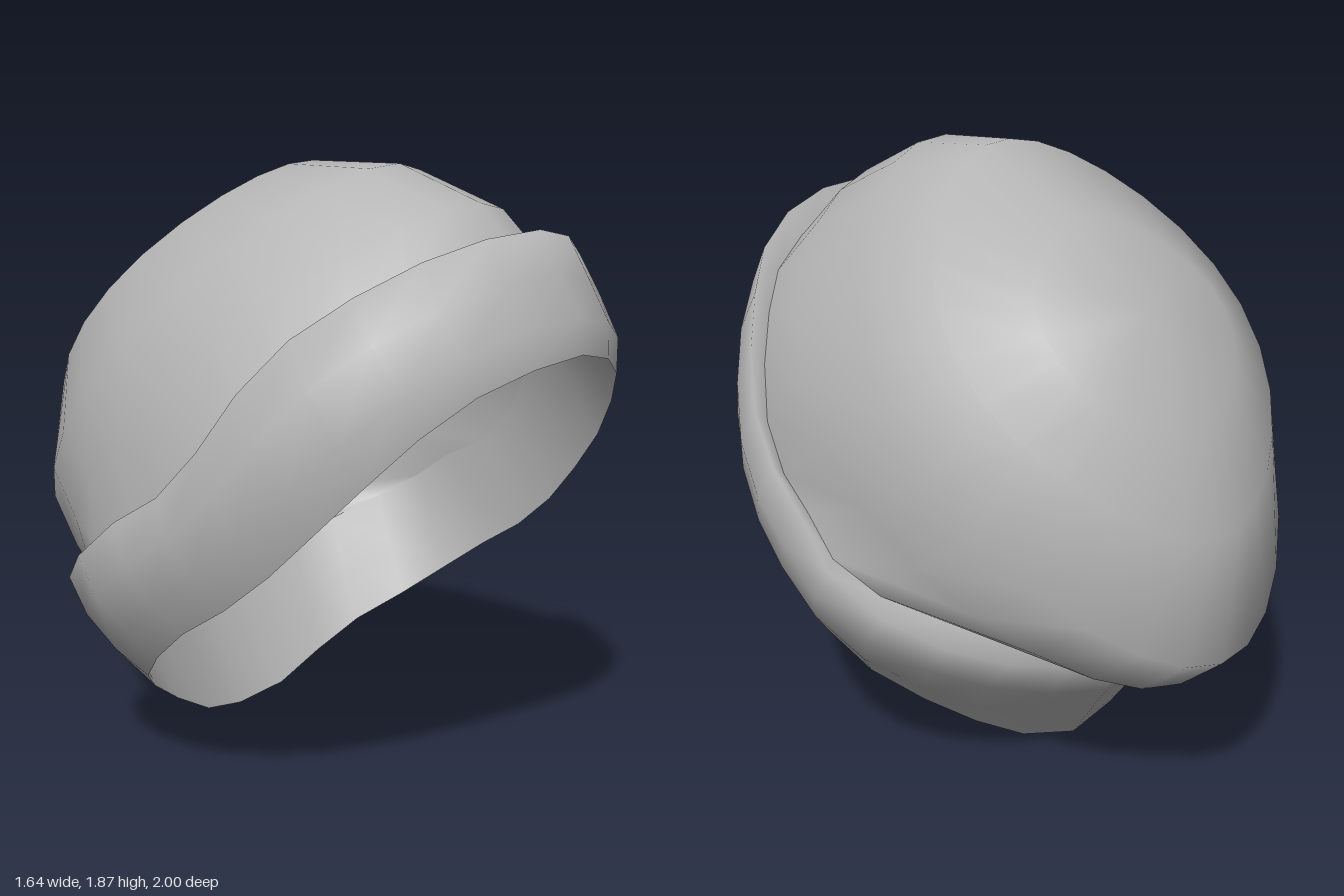
import * as THREE from 'three';
import { mergeVertices } from 'three/addons/utils/BufferGeometryUtils.js';

const SIDES = 28;
const HALF = SIDES / 2;

// Closed, mirrored ring: half(u) gives a point on the +x side, u = 0 front to 1 back
function ring(half) {
  return Array.from({ length: SIDES }, (_, j) => {
    const p = half((j <= HALF ? j : SIDES - j) / HALF).clone();
    if (j % HALF === 0) p.x = 0;
    if (j > HALF) p.x *= -1;
    return p;
  });
}

// Half ring through a few control points
function edge(points) {
  const curve = new THREE.CatmullRomCurve3(points.map(p => new THREE.Vector3(...p)));
  return ring(u => curve.getPointAt(u));
}

// Tilted oval between a front and a back point [z, y], slightly pointed at both ends
function oval(front, back, width) {
  return ring(u => {
    const c = Math.cos(u * Math.PI), k = (1 + c) / 2;
    return new THREE.Vector3(
      width * Math.sin(u * Math.PI) * (1 - 0.2 * c * c),
      back[1] + (front[1] - back[1]) * k,
      back[0] + (front[0] - back[0]) * k);
  });
}

// Smooth skin over rings listed from top to bottom
function skin(rings) {
  const index = [];
  for (let i = 0; i < rings.length - 1; i++) {
    for (let j = 0; j < SIDES; j++) {
      const k = (j + 1) % SIDES;
      const a = i * SIDES + j, c = i * SIDES + k, b = a + SIDES, d = c + SIDES;
      index.push(a, b, c, c, b, d);
    }
  }
  const geo = new THREE.BufferGeometry().setFromPoints(rings.flat());
  geo.setIndex(index);
  const merged = mergeVertices(geo, 1e-4);
  merged.computeVertexNormals();
  return merged;
}

export function createModel() {
  const group = new THREE.Group();
  group.name = 'knitCap';
  const wool = new THREE.MeshStandardMaterial({ color: 0xb4b4b4, side: THREE.DoubleSide });
  wool.name = 'greyWool';

  const add = (name, rings) => {
    const mesh = new THREE.Mesh(skin(rings), wool);
    mesh.name = name;
    group.add(mesh);
  };

  // Cuff edges, front to back
  const cuffTop = edge([
    [0, 1.67, 0.85], [0.28, 1.63, 0.79], [0.53, 1.5, 0.63], [0.66, 1.35, 0.46],
    [0.75, 1.15, 0.32], [0.78, 0.98, 0.2], [0.79, 0.87, 0], [0.8, 0.72, -0.2],
    [0.68, 0.57, -0.4], [0.36, 0.42, -0.54], [0, 0.34, -0.6]]);
  const cuffBottom = edge([
    [0, 1.335, 1], [0.25, 1.29, 0.95], [0.41, 1.2, 0.86], [0.54, 1.06, 0.75],
    [0.62, 0.91, 0.62], [0.7, 0.68, 0.39], [0.72, 0.51, 0.13], [0.63, 0.33, -0.1],
    [0.46, 0.2, -0.25], [0.3, 0.1, -0.3], [0.1, 0.005, -0.33], [0, 0, -0.35]]);

  // Ring between the two edges, pushed outward at the sides and front
  const between = (t, side, front) => cuffTop.map((p, j) => {
    const q = p.clone().lerp(cuffBottom[j], t);
    const a = j / HALF * Math.PI;
    q.x += Math.sin(a) * side;
    q.z += Math.max(0, Math.cos(a)) * front;
    return q;
  });

  // Crown rim just inside the cuff's upper edge, curling up at the back
  const rim = cuffTop.map((p, j) => {
    const curl = 0.08 * Math.max(0, -Math.cos(j / HALF * Math.PI));
    return new THREE.Vector3(
      p.x * 0.95, 1 + (p.y - 1) * 0.93 - 0.035 + curl, 0.125 + (p.z - 0.125) * 0.9 + 0.01);
  });

  add('cuff', [rim, cuffTop, between(0.35, 0.05, 0.015), between(0.7, 0.045, 0.035), cuffBottom]);

  add('crown', [
    oval([-0.66, 1.45], [-0.66, 1.45], 0),
    oval([-0.38, 1.68], [-0.84, 1.15], 0.33),
    oval([0, 1.87], [-0.96, 0.87], 0.54),
    oval([0.35, 1.855], [-1, 0.51], 0.66),
    oval([0.65, 1.74], [-0.84, 0.38], 0.74),
    rim]);

  // Lining from the crown rim down to the cuff's lower edge
  const liningMiddle = rim.map((p, j) => p.clone().lerp(cuffBottom[j], 0.5));
  add('lining', [rim, liningMiddle, cuffBottom]);

  return group;
}
